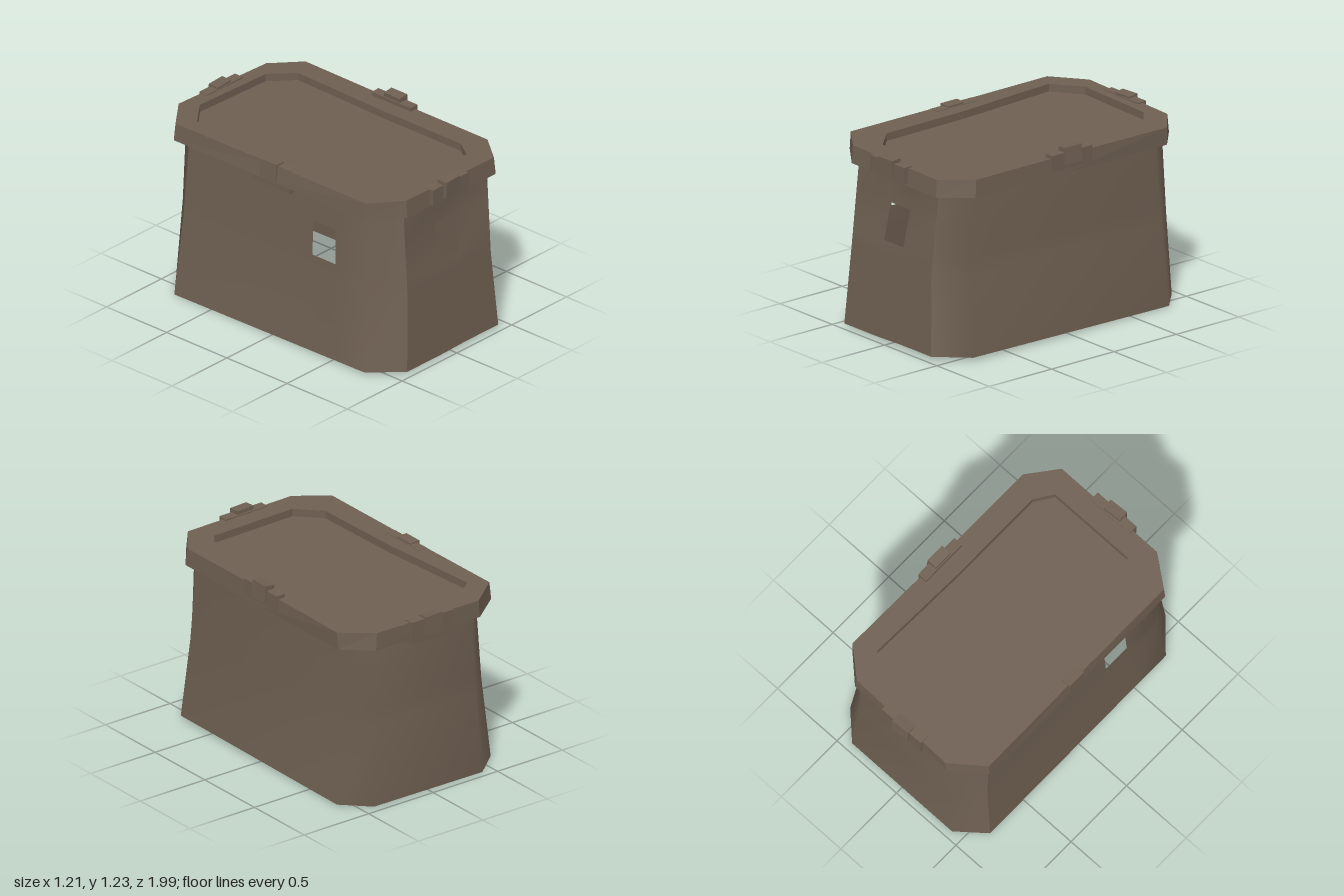
import * as THREE from 'three';

// Octagon corners [x, z], starting at the front -x corner and running past +x to the back
const BASE = [[-.42, .97], [.41, .97], [.585, .78], [.585, -.79], [.42, -.95], [-.42, -.95], [-.6, -.8], [-.6, .78]];
const WAIST = [[-.385, .94], [.375, .94], [.535, .75], [.535, -.77], [.39, -.93], [-.38, -.93], [-.55, -.77], [-.55, .75]];
const NECK = [[-.37, .895], [.39, .895], [.508, .72], [.508, -.74], [.37, -.912], [-.37, -.912], [-.53, -.74], [-.53, .72]];
const WAIST_Y = 0.54, NECK_Y = 1.07;
const ROWS = [0, WAIST_Y, 0.65, 0.885, NECK_Y];

const mix = (a, b, t) => a + (b - a) * t;

// Point on the wall: s counts corners around the outline, y is the height
function wallPoint(s, y) {
  const [lo, hi, t] = y <= WAIST_Y
    ? [BASE, WAIST, y / WAIST_Y]
    : [WAIST, NECK, (y - WAIST_Y) / (NECK_Y - WAIST_Y)];
  const i = Math.floor(s) % 8, j = (i + 1) % 8, f = s - Math.floor(s);
  const at = (ring, k) => mix(ring[i][k], ring[j][k], f);
  const x = mix(at(lo, 0), at(hi, 0), t), z = mix(at(lo, 1), at(hi, 1), t);
  return [x, y === 0 ? 0.018 + 0.011 * z + (x < 0 ? -0.004 : 0.002) : y, z];
}

// Smooth grid of points; cells for which skip() is true stay open
function gridGeometry(rows, skip = () => false) {
  const n = rows[0].length, index = [];
  for (let r = 0; r < rows.length - 1; r++) {
    for (let c = 0; c < n - 1; c++) {
      if (skip(r, c)) continue;
      const a = r * n + c, d = a + n;
      index.push(a, a + 1, d + 1, a, d + 1, d);
    }
  }
  const g = new THREE.BufferGeometry();
  g.setAttribute('position', new THREE.Float32BufferAttribute(rows.flat(2), 3));
  g.setIndex(index);
  g.computeVertexNormals();
  return g;
}

function flat(g) {
  const f = g.toNonIndexed();
  f.computeVertexNormals();
  return f;
}

export function createModel() {
  const group = new THREE.Group();
  const stone = new THREE.MeshStandardMaterial({ color: 0x6e5f51, side: THREE.DoubleSide });
  stone.name = 'brownStone';

  const add = (name, geometry, parent = group) => {
    const m = new THREE.Mesh(geometry, stone);
    m.name = name;
    parent.add(m);
    return m;
  };

  // Hollow wall in three smooth sections, with a window in the front and in the -x side
  const section = (name, stops, windowCol, dent = 0) => {
    const rows = ROWS.map((y, r) => stops.map((s, c) => {
      const p = wallPoint(s, y);
      // The wall dips in around the top of the window
      if (r === 3 && (c === windowCol || c === windowCol + 1)) p[2] -= dent;
      return p;
    }));
    add(name, gridGeometry(rows, (r, c) => r === 2 && c === windowCol));
  };
  section('frontWall', [0, 0.39, 0.63, 1], 1, 0.03);
  section('leftAndBackWall', [1, 2, 3, 4, 5, 6], -1);
  section('rightWall', [6, 6.705, 6.83, 7, 8], 1);

  // Lid: underside, outer band, rim and recessed floor
  const lower = [[-.385, .94], [.42, .94], [.572, .75], [.572, 0], [.572, -.785], [.4, -.945], [-.39, -.965], [-.6, -.805], [-.6, 0], [-.595, .78]];
  const upper = [[-.385, .93], [.415, .93], [.565, .74], [.565, 0], [.575, -.78], [.39, -.94], [-.38, -.965], [-.59, -.8], [-.585, 0], [-.585, .78]];
  const inner = [[-.28, .78], [.33, .78], [.41, .66], [.41, 0], [.43, -.71], [.28, -.845], [-.3, -.86], [-.48, -.72], [-.43, 0], [-.42, .63]];
  const neck = [0, 1, 2, 2.5, 3, 4, 5, 6, 6.5, 7].map(s => {
    const p = wallPoint(s, NECK_Y);
    return [p[0], p[2]];
  });
  const ring = (pts, y) => [...pts, pts[0]].map(([x, z]) => [x, y - 0.013 * x, z]);
  const centre = inner.map(() => [0, 0]);
  add('lid', flat(gridGeometry([
    ring(neck, 1.066), ring(lower, 1.066), ring(upper, 1.18),
    ring(inner, 1.18), ring(inner, 1.13), ring(centre, 1.13),
  ])));

  // Clasps: a wide plate and a raised block on each side of the lid
  const clasps = [
    { name: 'frontClasp', turn: 0, reach: .965, low: 1.08, high: 1.187, blockLow: 1.10, blockHigh: 1.21, tilt: .03 },
    { name: 'leftClasp', turn: Math.PI / 2, reach: .582, low: 1.09, high: 1.197, blockLow: 1.12, blockHigh: 1.228, tilt: -.1 },
    { name: 'backClasp', turn: Math.PI, reach: .975, low: 1.035, high: 1.187, blockLow: 1.08, blockHigh: 1.2, tilt: -.08 },
    { name: 'rightClasp', turn: -Math.PI / 2, reach: .585, low: 1.03, high: 1.19, blockLow: 1.08, blockHigh: 1.2, tilt: -.05 },
  ];
  for (const c of clasps) {
    const clasp = new THREE.Group();
    clasp.name = c.name;
    clasp.rotation.y = c.turn;
    group.add(clasp);
    // Plates sit off centre towards the same world direction on opposite sides
    const shift = c.turn === 0 || c.turn < 0 ? -0.018 : 0.018;
    const plate = add('claspPlate', new THREE.BoxGeometry(.325, c.high - c.low, .065), clasp);
    plate.position.set(shift, (c.low + c.high) / 2, c.reach - .0325);
    const block = add('claspBlock', new THREE.BoxGeometry(.13, c.blockHigh - c.blockLow, .07), clasp);
    block.position.set(shift, (c.blockLow + c.blockHigh) / 2, c.reach - .018);
    block.rotation.set(c.tilt, c.turn % Math.PI === 0 ? .06 : 0, 0);
  }
  return group;
}
